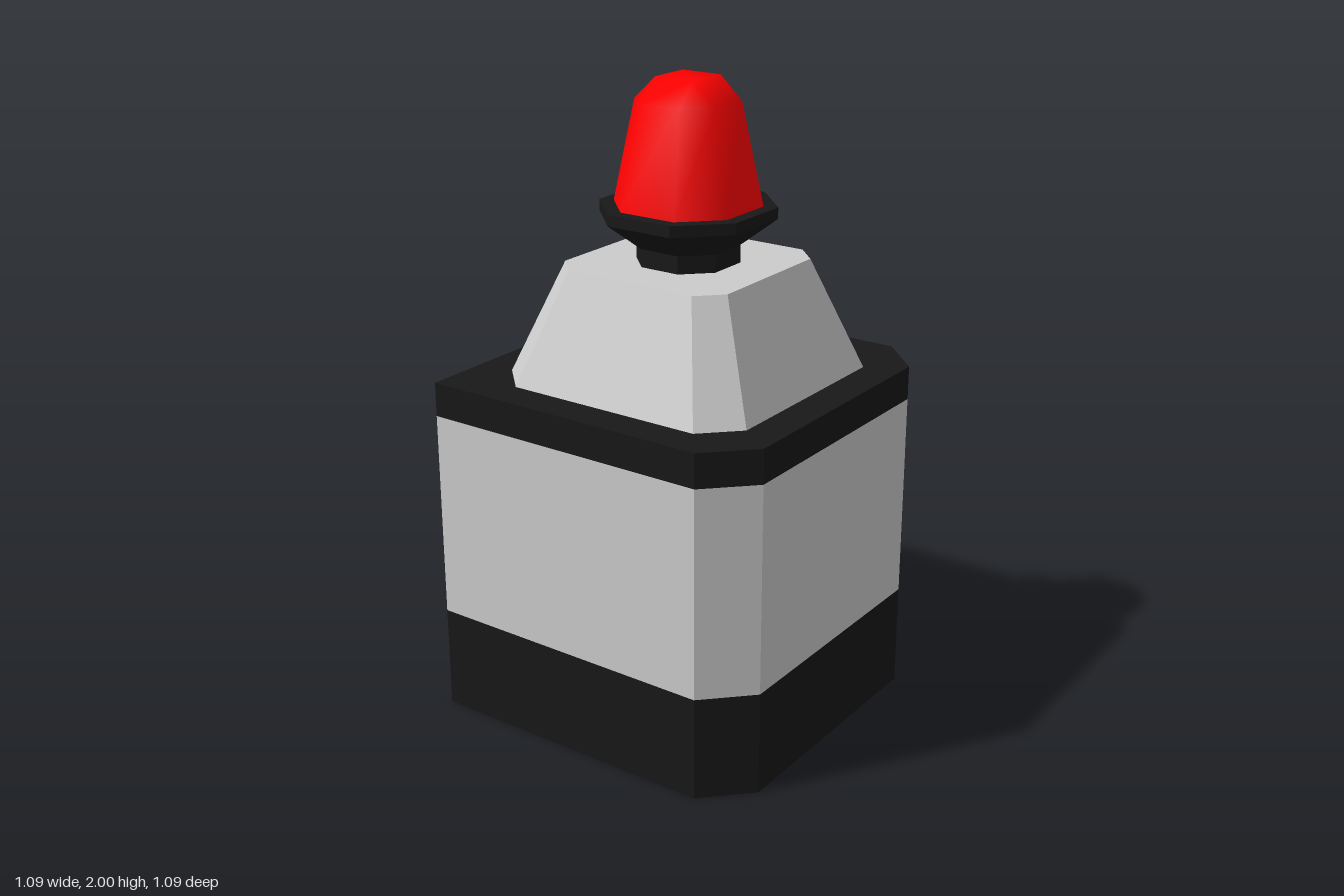
import * as THREE from 'three';
import { mergeVertices } from 'three/addons/utils/BufferGeometryUtils.js';

// Chamfered square outline: half width h, flat sides reaching to c.
// With squareFrontRight the (-x, +z) corner stays sharp.
function outline(h, c, squareFrontRight = false) {
  const s = squareFrontRight ? h : c;
  return [[h, c], [h, -c], [c, -h], [-c, -h], [-h, -c], [-h, s], [-s, h], [c, h]];
}

// Skin stacked outlines [y, points]; caps are optional.
function loft(rings, { top = false, bottom = false, walls = true, smooth = false } = {}) {
  const verts = rings.flatMap(([y, pts]) => pts.map(([x, z]) => [x, y, z]));
  const n = 8, pos = [];
  const tri = (...ids) => ids.forEach(i => pos.push(...verts[i]));
  if (walls) {
    for (let r = 0; r < rings.length - 1; r++) {
      for (let i = 0; i < n; i++) {
        const a = r * n + i, b = r * n + (i + 1) % n;
        tri(a, b, b + n);
        tri(a, b + n, a + n);
      }
    }
  }
  const last = (rings.length - 1) * n;
  for (let i = 1; i < n - 1; i++) {
    if (top) tri(last, last + i, last + i + 1);
    if (bottom) tri(0, i + 1, i);
  }
  let geo = new THREE.BufferGeometry();
  geo.setAttribute('position', new THREE.Float32BufferAttribute(pos, 3));
  if (smooth) geo = mergeVertices(geo);
  geo.computeVertexNormals();
  return geo;
}

export function createModel() {
  const group = new THREE.Group();
  const grey = new THREE.MeshStandardMaterial({ color: 0xcccccc });
  const black = new THREE.MeshStandardMaterial({ color: 0x181818 });
  const red = new THREE.MeshStandardMaterial({ color: 0xff0000 });

  const add = (name, material, rings, options) => {
    const mesh = new THREE.Mesh(loft(rings, options), material);
    mesh.name = name;
    group.add(mesh);
  };

  // Block in three bands, with one unchamfered corner
  const block = outline(0.547, 0.41, true);
  add('underside', grey, [[0, block]], { bottom: true, walls: false });
  add('baseBand', black, [[0, block], [0.33, block]]);
  add('body', grey, [[0.33, block], [0.99, block]]);
  add('topBand', black, [[0.99, block], [1.097, block]], { top: true });

  // Tapered shoulder
  add('shoulder', grey, [
    [1.097, outline(0.433, 0.325)],
    [1.445, outline(0.295, 0.222)],
  ], { top: true });

  // Neck flaring out into the collar
  add('collar', black, [
    [1.445, outline(0.145, 0.066)],
    [1.5, outline(0.145, 0.066)],
    [1.585, outline(0.247, 0.112)],
    [1.62, outline(0.247, 0.112)],
  ], { top: true });

  // Beacon lamp: octagonal sides closing to a small square top
  add('lamp', red, [
    [1.62, outline(0.206, 0.095)],
    [1.93, outline(0.145, 0.068)],
    [2, outline(0.068, 0.068)],
  ], { top: true, smooth: true });

  return group;
}
